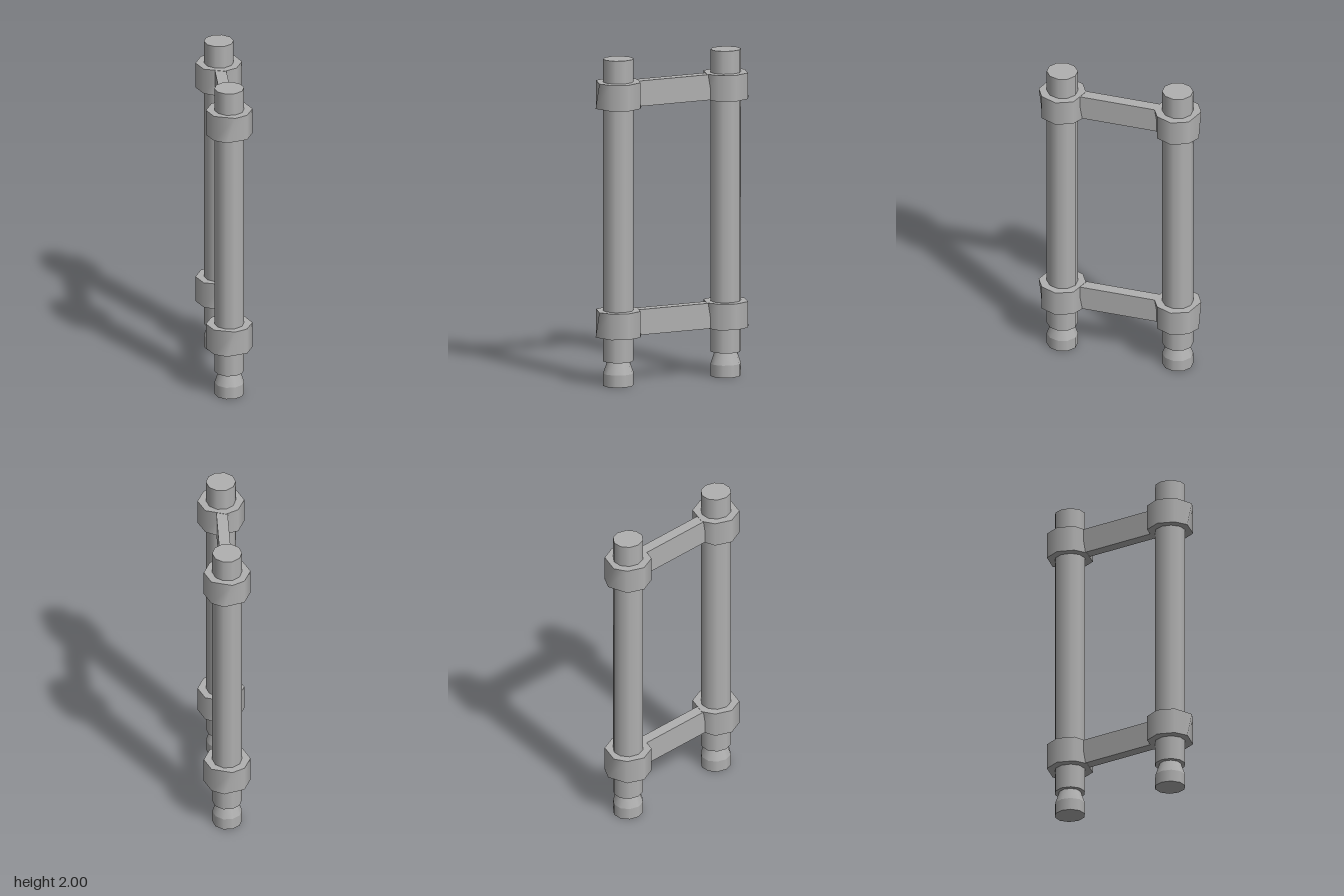
import * as THREE from 'three';

export function createModel() {
  const model = new THREE.Group();
  model.name = 'ladderFrame';
  const metal = new THREE.MeshStandardMaterial({ color: 0xb0b0b0 });
  metal.name = 'grey metal';

  const add = (name, geometry, x, y, z) => {
    const mesh = new THREE.Mesh(geometry, metal);
    mesh.name = name;
    mesh.position.set(x, y, z);
    model.add(mesh);
  };

  // Ten-sided tube with a corner on the x axis
  const tube = (top, bottom, height, open = false) =>
    new THREE.CylinderGeometry(top, bottom, height, 10, 1, open, Math.PI / 2).scale(1, 1, 1.05);

  // Eight-sided collar whose front and back corners lean slightly sideways
  const collar = () => {
    const geometry = new THREE.CylinderGeometry(0.141, 0.141, 0.16, 8);
    const p = geometry.attributes.position;
    for (let i = 0; i < p.count; i++) {
      const z = p.getZ(i);
      if (Math.abs(z) > 0.12) p.setX(i, 0.025 * Math.sign(z) * Math.sign(p.getY(i)));
    }
    return geometry;
  };

  // Two posts, each with a tapered foot and two collars
  for (const [side, z] of [['front', 0.363], ['back', -0.363]]) {
    add(side + 'Post', tube(0.09, 0.09, 1.85), 0, 1.075, z);
    add(side + 'Foot', tube(0.09, 0.09, 0.075), 0, 0.0375, z);
    add(side + 'FootNeck', tube(0.065, 0.09, 0.075, true), 0, 0.1125, z);
    add(side + 'LowerCollar', collar(), 0, 0.38, z);
    add(side + 'UpperCollar', collar(), 0, 1.78, z);
  }

  // Flat bars joining the collars
  for (const [name, y] of [['lowerBar', 0.38], ['upperBar', 1.78]]) {
    add(name, new THREE.BoxGeometry(0.068, 0.156, 0.5), 0, y, 0);
  }

  return model;
}
